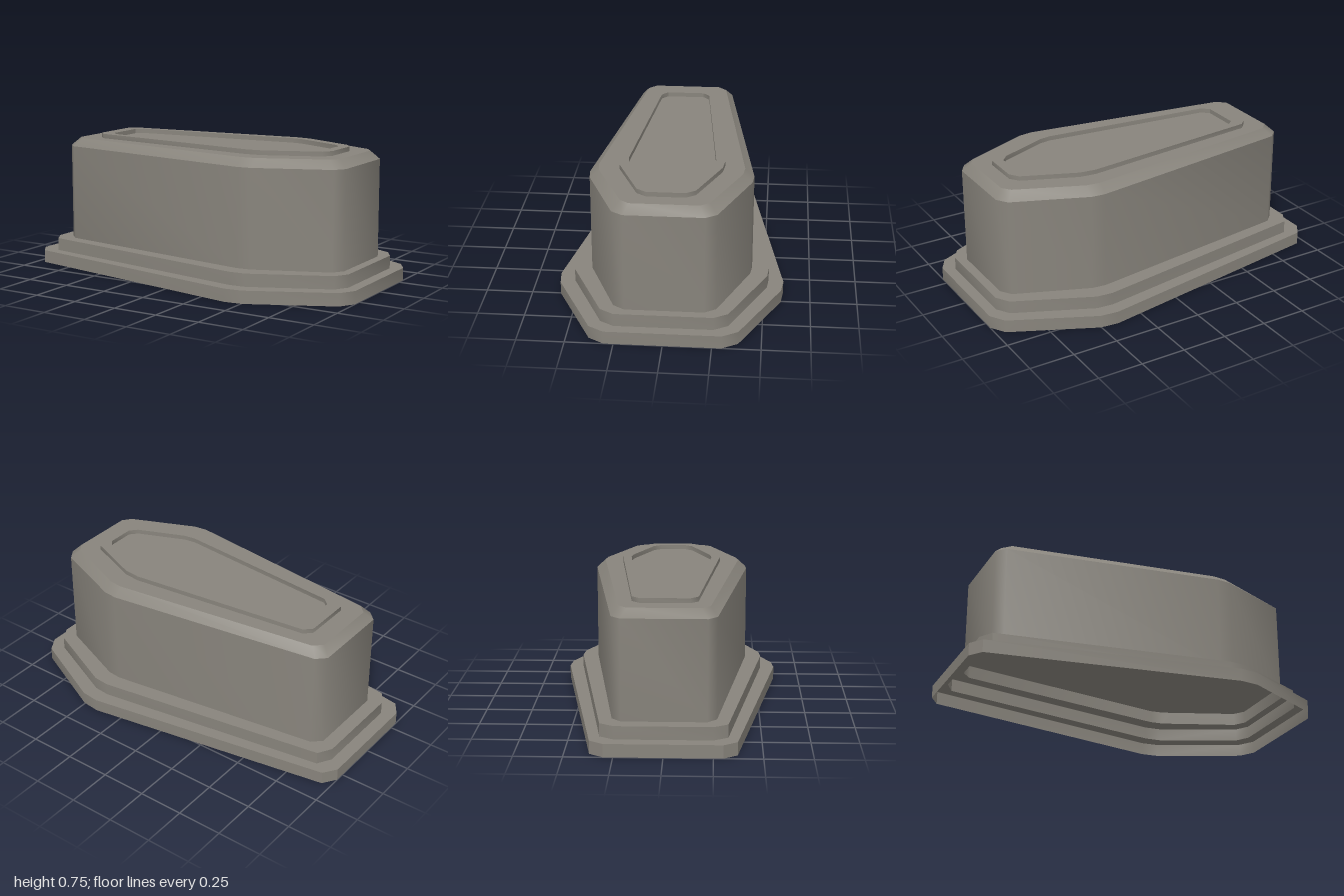
import * as THREE from 'three';
import { toCreasedNormals } from 'three/addons/utils/BufferGeometryUtils.js';

// Half outlines [x, z] from the head end (+x) to the foot end (-x); mirrored in z
const mirror = (half) => [...half, ...half.map(([x, z]) => [x, -z]).reverse()];
const plinth = mirror([[1, 0.3], [0.95, 0.382], [0.505, 0.594], [0.405, 0.605], [-0.95, 0.372], [-1, 0.3]]);
const step = mirror([[0.94, 0.255], [0.895, 0.328], [0.48, 0.517], [0.39, 0.525], [-0.885, 0.325], [-0.93, 0.25]]);
const body = mirror([[0.89, 0.205], [0.85, 0.265], [0.455, 0.426], [0.38, 0.434], [-0.805, 0.268], [-0.855, 0.22]]);
const lid = mirror([[0.845, 0.178], [0.81, 0.225], [0.455, 0.376], [0.38, 0.385], [-0.765, 0.232], [-0.81, 0.187]]);
const ringOuter = mirror([[0.76, 0.1], [0.725, 0.15], [0.435, 0.27], [0.345, 0.28], [-0.665, 0.17], [-0.705, 0.13]]);
const ringInner = mirror([[0.705, 0.075], [0.67, 0.115], [0.41, 0.222], [0.345, 0.231], [-0.595, 0.14], [-0.635, 0.105]]);

export function createModel() {
  const group = new THREE.Group();
  const stone = new THREE.MeshStandardMaterial({ color: 0x88847c, side: THREE.DoubleSide });
  stone.name = 'warm grey stone';

  const add = (name, geometry) => {
    const mesh = new THREE.Mesh(geometry, stone);
    mesh.name = name;
    group.add(mesh);
  };

  // Strip of faces joining a lower (or outer) outline to an upper (or inner) one
  const band = (name, a, ya, b, yb, crease = 0.85) => {
    const pos = [];
    a.forEach((p, i) => {
      const j = (i + 1) % a.length;
      const a0 = [p[0], ya, p[1]], a1 = [a[j][0], ya, a[j][1]];
      const b0 = [b[i][0], yb, b[i][1]], b1 = [b[j][0], yb, b[j][1]];
      pos.push(...a0, ...b0, ...b1, ...a0, ...b1, ...a1);
    });
    const geometry = new THREE.BufferGeometry();
    geometry.setAttribute('position', new THREE.Float32BufferAttribute(pos, 3));
    geometry.computeVertexNormals();
    add(name, toCreasedNormals(geometry, crease));
  };

  // Flat horizontal plate filling an outline
  const plate = (name, outline, y, facing) => {
    const shape = new THREE.Shape(outline.map(([x, z]) => new THREE.Vector2(x, z)));
    const geometry = new THREE.ShapeGeometry(shape);
    geometry.rotateX(-facing * Math.PI / 2).translate(0, y, 0);
    add(name, geometry);
  };

  // Stepped base, open underneath
  band('plinthWall', plinth, 0, plinth, 0.07, 0.6);
  band('plinthLedge', plinth, 0.07, step, 0.07);
  band('stepWall', step, 0.07, step, 0.14, 0.6);
  band('stepLedge', step, 0.14, body, 0.14);

  // Tall body with a closed underside and a bevelled lid
  band('bodyWall', body, 0.14, body, 0.675);
  plate('innerCeiling', body, 0.21, -1);
  band('lidBevel', body, 0.675, lid, 0.72);
  band('lidTop', lid, 0.72, ringOuter, 0.72);

  // Raised border around the sunken top panel
  band('borderOuterWall', ringOuter, 0.72, ringOuter, 0.745);
  band('borderTop', ringOuter, 0.745, ringInner, 0.745);
  band('borderInnerWall', ringInner, 0.745, ringInner, 0.72);
  plate('topPanel', ringInner, 0.72, 1);

  return group;
}
